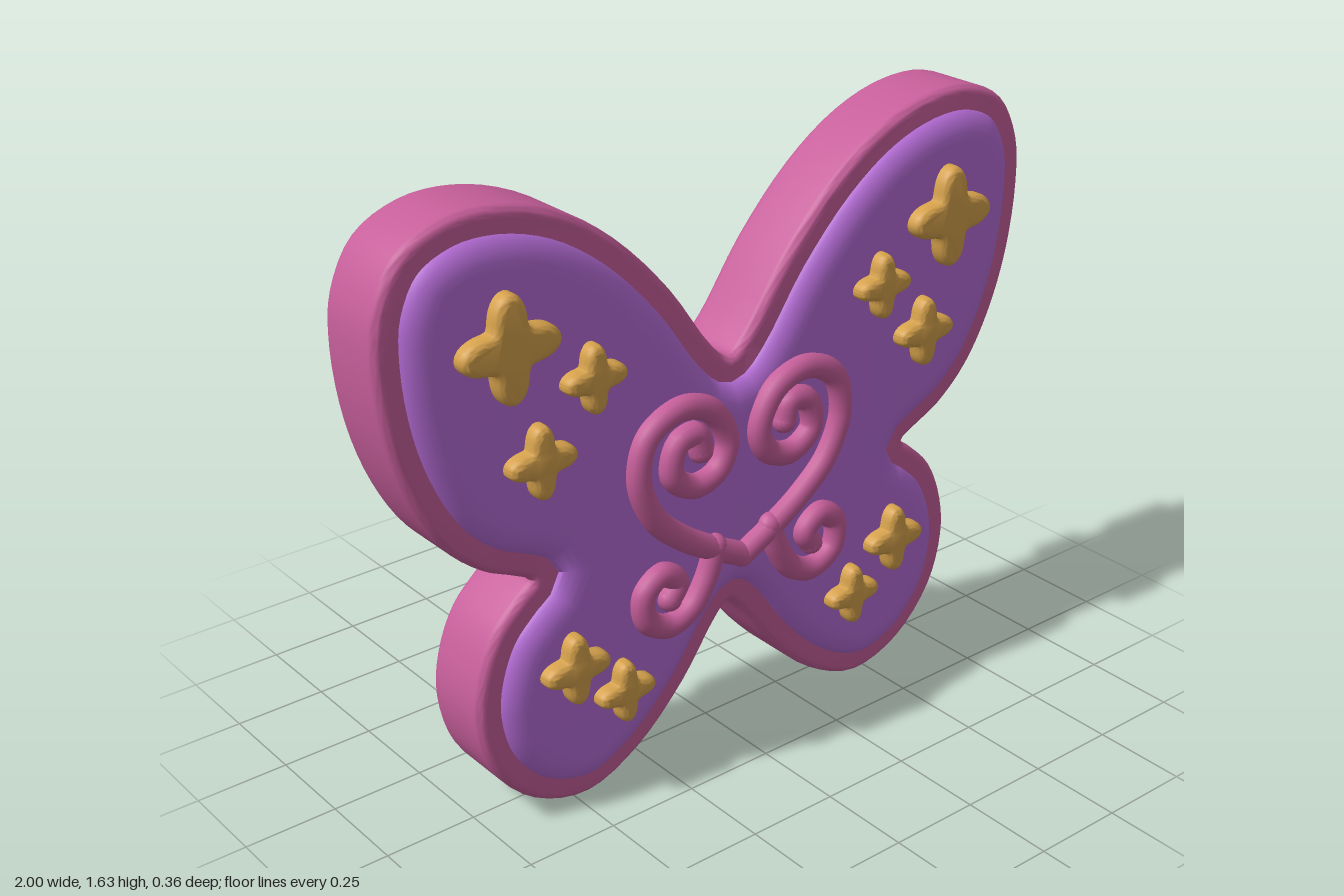
import * as THREE from 'three';
import { toCreasedNormals } from 'three/addons/utils/BufferGeometryUtils.js';

const material = (name, color) => {
  const m = new THREE.MeshStandardMaterial({ color });
  m.name = name;
  return m;
};

const v2 = ([x, y]) => new THREE.Vector2(x, y);

// Extrusion centred on z = 0 with rounded edges; inset shrinks the outline
function plate(points, thickness, inset, bevelSize, bevelThickness) {
  const depth = thickness - 2 * bevelThickness;
  const geometry = new THREE.ExtrudeGeometry(new THREE.Shape(points), {
    depth, bevelSize, bevelThickness, bevelSegments: 6, bevelOffset: -inset - bevelSize,
  });
  geometry.translate(0, 0, -depth / 2);
  return toCreasedNormals(geometry, 0.7);
}

// Right half of the wing outline, from the top notch to the bottom notch
const HALF = [
  [0.05, 1.125], [0.18, 1.305], [0.34, 1.47], [0.5, 1.575], [0.66, 1.624], [0.8, 1.622],
  [0.92, 1.565], [0.985, 1.45], [0.998, 1.32], [0.975, 1.13], [0.92, 0.965], [0.84, 0.83],
  [0.74, 0.74], [0.65, 0.695], [0.61, 0.67], [0.645, 0.64], [0.72, 0.565], [0.77, 0.45],
  [0.782, 0.33], [0.74, 0.18], [0.62, 0.05], [0.46, 0.003], [0.3, 0.07], [0.15, 0.21], [0.04, 0.36],
];

function wingOutline() {
  const left = HALF.map(([x, y]) => [-x, y]).reverse();
  const loop = [[0, 1.085], ...HALF, [0, 0.395], ...left];
  const curve = new THREE.CatmullRomCurve3(
    loop.map(([x, y]) => new THREE.Vector3(x, y, 0)), true, 'centripetal');
  return curve.getPoints(208).slice(0, -1).map((p) => v2([p.x, p.y]));
}

// Four-pointed star with soft tips
function starOutline(radius) {
  const points = [];
  for (let i = 0; i < 64; i++) {
    const a = (i / 64) * Math.PI * 2;
    const r = radius * (0.53 + 0.47 * Math.pow(Math.abs(Math.cos(2 * a)), 1.8));
    points.push(v2([r * Math.cos(a), r * Math.sin(a)]));
  }
  return points;
}

// Scrolls on the right half: heart lobe and lower curl
const HEART = [
  [0, 0.555], [0.09, 0.602], [0.19, 0.665], [0.28, 0.75], [0.326, 0.87], [0.297, 0.975], [0.195, 1.02],
  [0.1, 0.985], [0.052, 0.89], [0.085, 0.82], [0.16, 0.8], [0.225, 0.85], [0.207, 0.93],
  [0.15, 0.94], [0.135, 0.89],
];
const CURL = [
  [0.09, 0.61], [0.12, 0.53], [0.17, 0.46], [0.24, 0.435], [0.308, 0.475], [0.315, 0.55],
  [0.26, 0.587], [0.212, 0.55], [0.235, 0.51],
];

// x, y, radius
const STARS = [
  [0.685, 1.31, 0.135], [0.455, 1.175, 0.088], [0.61, 1.01, 0.095],
  [0.53, 0.425, 0.096], [0.383, 0.305, 0.086],
];

export function createModel() {
  const model = new THREE.Group();
  model.name = 'butterfly';
  const pink = material('rose pink', 0xc75f9b);
  const purple = material('orchid purple', 0xb56cd6);
  const gold = material('gold', 0xd6a24c);

  const add = (parent, name, geometry, mat) => {
    const mesh = new THREE.Mesh(geometry, mat);
    mesh.name = name;
    parent.add(mesh);
    return mesh;
  };

  // Wings: a rim plate with a thicker, pillowed panel set through it
  const outline = wingOutline();
  add(model, 'wingRim', plate(outline, 0.205, 0, 0.025, 0.025), pink);
  add(model, 'wingPanel', plate(outline, 0.275, 0.06, 0.075, 0.05), purple);

  // Round-ended scroll
  const scroll = (parent, name, points, mirror) => {
    const path = points.map(([x, y]) => new THREE.Vector3(x * mirror, y, 0.145));
    const curve = new THREE.CatmullRomCurve3(path, false, 'centripetal');
    add(parent, name, new THREE.TubeGeometry(curve, 110, 0.033, 12, false), pink);
    for (const end of [path[0], path[path.length - 1]]) {
      add(parent, name + 'End', new THREE.SphereGeometry(0.033, 14, 10), pink).position.copy(end);
    }
  };

  // The same decoration on the front and the back
  for (const face of ['front', 'back']) {
    const group = new THREE.Group();
    group.name = face + 'Decoration';
    if (face === 'back') group.rotation.y = Math.PI;
    model.add(group);
    for (const mirror of [1, -1]) {
      scroll(group, 'heartScroll', HEART, mirror);
      scroll(group, 'lowerCurl', CURL, mirror);
      for (const [x, y, r] of STARS) {
        const star = add(group, 'star', plate(starOutline(r), 0.08, 0, 0.02, 0.025), gold);
        star.position.set(x * mirror, y, 0.14);
      }
    }
  }
  return model;
}
